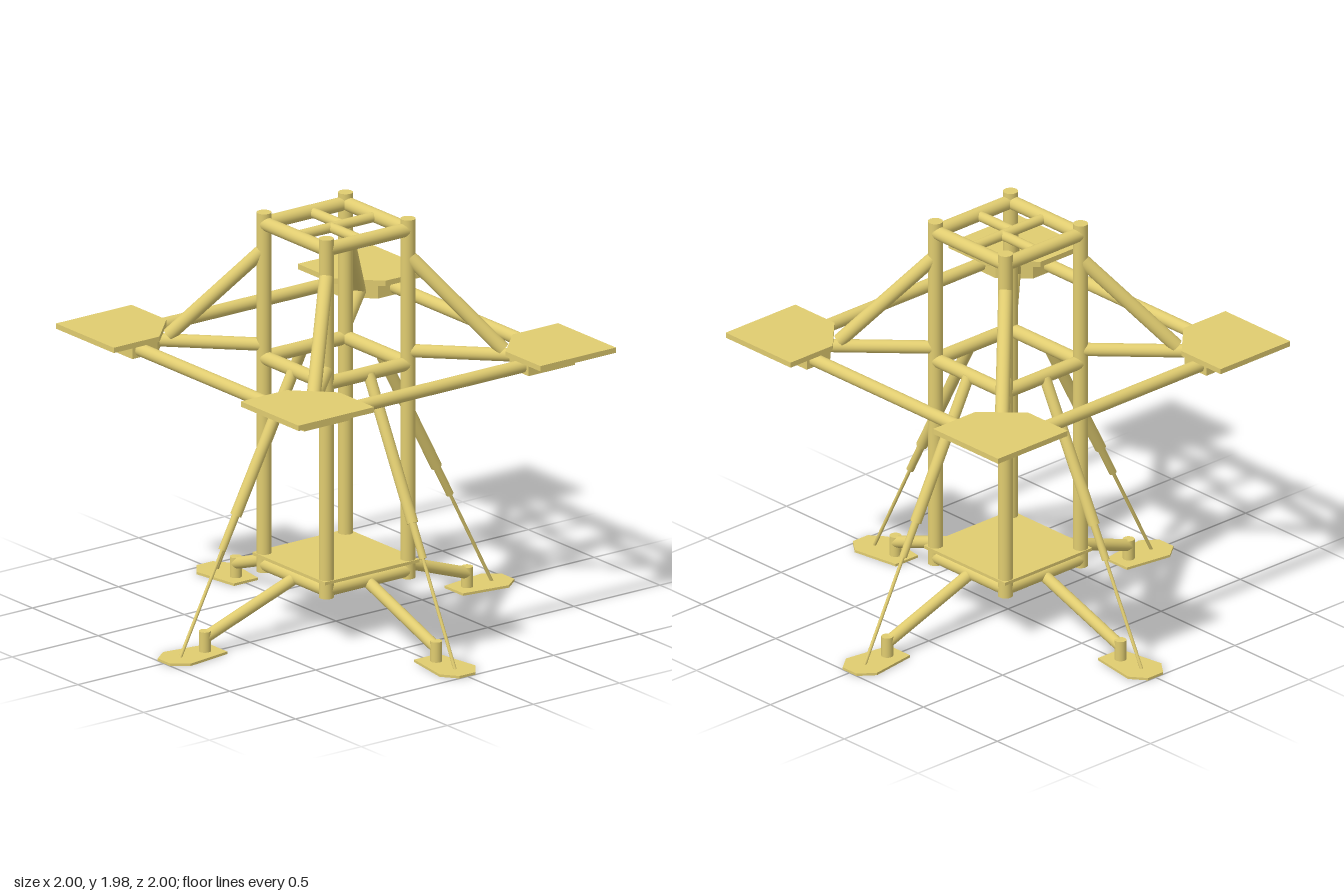
import * as THREE from 'three';

const material = new THREE.MeshStandardMaterial({ color: 0xe0cc70 });

function add(parent, name, geometry) {
  const mesh = new THREE.Mesh(geometry, material);
  mesh.name = name;
  parent.add(mesh);
  return mesh;
}

// Round bar between two points
function bar(parent, name, from, to, radius) {
  const a = new THREE.Vector3(...from);
  const b = new THREE.Vector3(...to);
  const dir = b.clone().sub(a);
  const mesh = add(parent, name, new THREE.CylinderGeometry(radius, radius, dir.length(), 24));
  mesh.position.copy(a).add(b).multiplyScalar(0.5);
  mesh.quaternion.setFromUnitVectors(new THREE.Vector3(0, 1, 0), dir.normalize());
  return mesh;
}

// Horizontal slab from an outline of [x, z] points
function slab(parent, name, outline, bottom, top) {
  const shape = new THREE.Shape(outline.map(([x, z]) => new THREE.Vector2(x, z)));
  const geometry = new THREE.ExtrudeGeometry(shape, { depth: top - bottom, bevelEnabled: false });
  geometry.rotateX(Math.PI / 2);
  geometry.translate(0, top, 0);
  return add(parent, name, geometry);
}

// Square with its inner corner cut off
const cutSquare = (inner, outer, cut) => [
  [inner, cut], [cut, inner], [outer, inner], [outer, outer], [inner, outer],
];

export function createModel() {
  const model = new THREE.Group();
  model.name = 'landerFrame';
  const P = 0.237; // post offset from the centre

  // The four quarters of the frame are the same part turned about y
  for (let i = 0; i < 4; i++) {
    const quarter = new THREE.Group();
    quarter.name = 'frameQuarter';
    quarter.rotation.y = (i * Math.PI) / 2;
    model.add(quarter);

    // Tower
    bar(quarter, 'post', [P, 0.23, P], [P, 1.98, P], 0.035);
    for (const [name, y] of [['topBeam', 1.926], ['middleBeam', 1.272], ['bottomBeam', 0.267]]) {
      bar(quarter, name, [P, y, -P], [P, y, P], 0.033);
    }

    // Corner platform and its supports
    slab(quarter, 'platform', cutSquare(0.483, 0.922, 0.657), 1.367, 1.393);
    slab(quarter, 'platformBox', cutSquare(0.518, 0.787, 0.64), 1.3, 1.367);
    bar(quarter, 'platformStrut', [P, 1.8, P], [0.55, 1.362, 0.55], 0.033);
    bar(quarter, 'platformArm', [P, 1.335, P], [0.6, 1.335, 0.6], 0.031);
    bar(quarter, 'platformTie', [0.74, 1.337, -0.56], [0.74, 1.337, 0.56], 0.031);

    // Telescopic leg in three stages
    const leg = new THREE.Group();
    leg.name = 'telescopicLeg';
    quarter.add(leg);
    const top = [0.25, 1.272, 0];
    const upper = [0.583, 0.635, 0];
    const lower = [0.662, 0.483, 0];
    bar(leg, 'legSleeve', top, upper, 0.027);
    bar(leg, 'legTube', upper, lower, 0.018);
    bar(leg, 'legRod', lower, [0.907, 0.005, 0], 0.008);

    // Foot with its lower strut
    bar(quarter, 'lowerStrut', [P, 0.26, 0], [0.762, 0.077, 0], 0.028);
    bar(quarter, 'footPost', [0.762, 0.005, 0], [0.762, 0.11, 0], 0.028);
    slab(quarter, 'footPad', [
      [0.685, -0.07], [0.925, -0.105], [1, -0.047],
      [1, 0.047], [0.925, 0.105], [0.685, 0.07],
    ], 0, 0.012);
  }

  // Cross bars in the top opening
  bar(model, 'topCentreBar', [0, 1.926, -P], [0, 1.926, P], 0.024);
  bar(model, 'topCrossBarRight', [-P, 1.926, -0.035], [0, 1.926, -0.035], 0.024);
  bar(model, 'topCrossBarLeft', [0, 1.926, 0.028], [P, 1.926, 0.028], 0.024);

  // Floor plate
  const floor = add(model, 'floorPlate', new THREE.BoxGeometry(0.55, 0.015, 0.55));
  floor.position.y = 0.312;

  return model;
}
